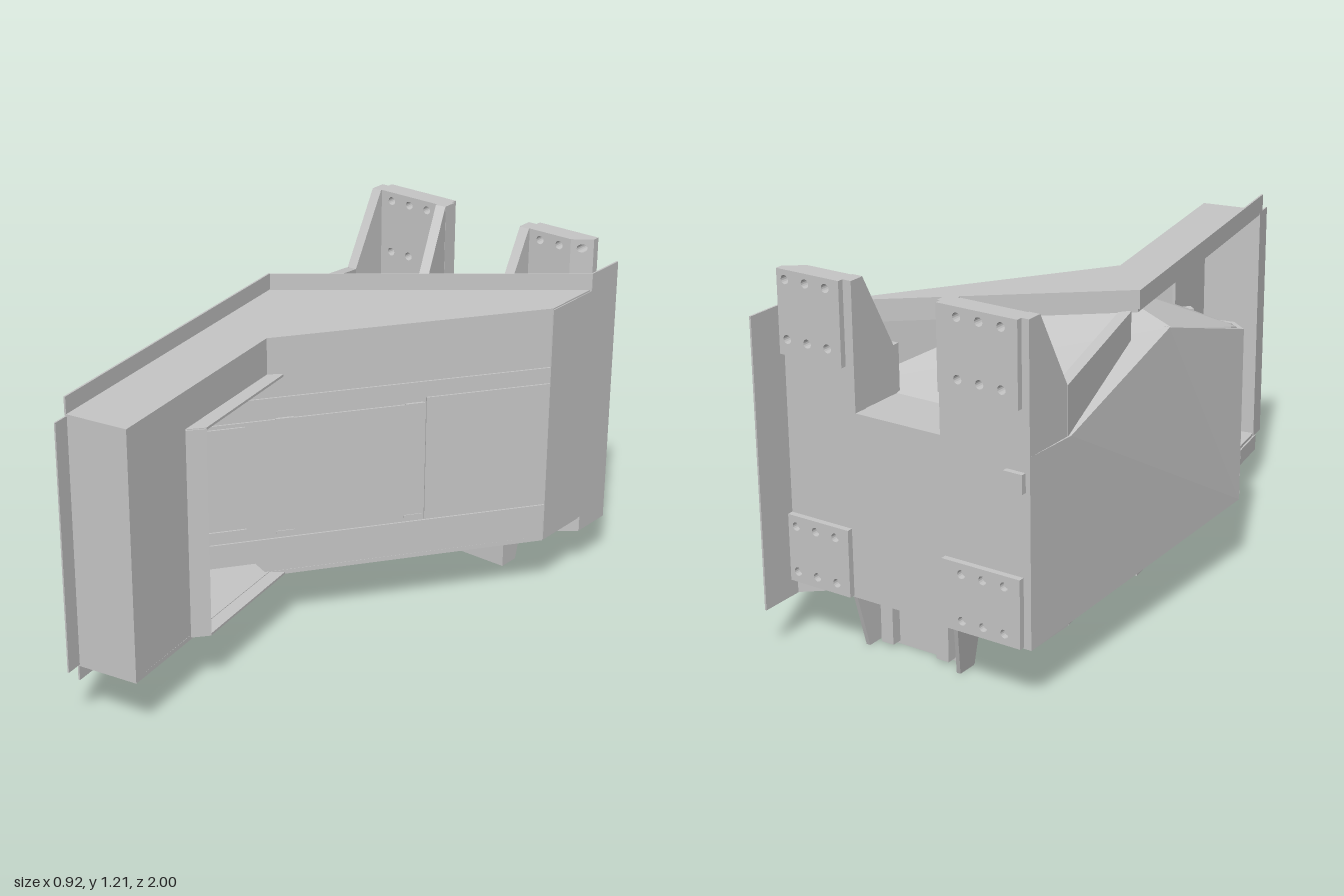
import * as THREE from 'three';

export function createModel() {
  const model = new THREE.Group();
  model.name = 'bentArmBracket';
  const steel = new THREE.MeshStandardMaterial({ color: 0xc6c6c6, side: THREE.DoubleSide });
  steel.name = 'grey steel';

  const add = (name, geo) => {
    const m = new THREE.Mesh(geo, steel);
    m.name = name;
    model.add(m);
    return m;
  };
  const shapeOf = pts => new THREE.Shape(pts.map(p => new THREE.Vector2(p[0], p[1])));
  const extrude = (shape, depth) =>
    new THREE.ExtrudeGeometry(shape, { depth, bevelEnabled: false, curveSegments: 8 });
  // Move every vertex of a geometry by a rule
  const bend = (g, rule) => {
    const p = g.attributes.position, v = new THREE.Vector3();
    for (let i = 0; i < p.count; i++) {
      rule(v.fromBufferAttribute(p, i));
      p.setXYZ(i, v.x, v.y, v.z);
    }
    g.computeVertexNormals();
    return g;
  };

  // Horizontal plate: outline in (x, z), optional rise in y along z
  const plate = (name, pts, y0, y1, rise = 0) => {
    const g = extrude(shapeOf(pts.map(([x, z]) => [x, -z])), y1 - y0);
    g.rotateX(-Math.PI / 2).translate(0, y0, 0);
    return add(name, bend(g, v => { v.y += rise * (v.z + 0.86); }));
  };
  // Upright wall from a to b in (x, z): profile in (distance, y), thickness from off to off + t
  const wall = (name, a, b, profile, t, off = -t / 2) => {
    const g = extrude(shapeOf(profile), t);
    g.translate(0, 0, off);
    g.rotateY(Math.atan2(a[1] - b[1], b[0] - a[0]));
    g.translate(a[0], 0, a[1]);
    return add(name, g);
  };
  const rect = (s0, s1, y0, y1) => [[s0, y0], [s1, y0], [s1, y1], [s0, y1]];
  const straight = (name, a, b, y0, y1, t, off) =>
    wall(name, a, b, rect(0, Math.hypot(b[0] - a[0], b[1] - a[1]), y0, y1), t, off);
  const box = (name, x0, x1, y0, y1, z0, z1) => {
    const g = new THREE.BoxGeometry(x1 - x0, y1 - y0, z1 - z0);
    return add(name, g.translate((x0 + x1) / 2, (y0 + y1) / 2, (z0 + z1) / 2));
  };

  // Bent arm: two webs with a flange along the outer edge
  const tipIn = [0.05, 0.91], tipOut = [-0.155, 0.945];
  const bendIn = [-0.088, 0.145], bendOut = [-0.355, -0.18];
  const rootIn = [0.453, -0.63], rootOut = [0.453, -0.85];
  const armOutline = [rootOut, rootIn, bendIn, tipIn, tipOut, bendOut];
  plate('topWeb', armOutline, 1.02, 1.035);
  plate('bottomWeb', armOutline, 0.2, 0.215);
  for (const [name, y0, y1] of [['topFlange', 1.03, 1.09], ['bottomFlange', 0.15, 0.205]]) {
    straight(name, tipOut, bendOut, y0, y1, 0.006, -0.006);
    straight(name, bendOut, rootOut, y0, y1, 0.006, 0);
  }

  // Column at the arm tip, open on its outer side
  straight('columnEnd', tipOut, tipIn, 0.205, 1.03, 0.012, -0.012);
  straight('columnSide', tipIn, [-0.005, 0.61], 0.205, 1.03, 0.012, -0.012);
  straight('headerStrip', [-0.005, 0.61], bendIn, 0.91, 1.03, 0.012, -0.012);
  straight('tipFin', [-0.158, 0.93], [-0.146, 1], 0.205, 1.03, 0.005);

  // Flared lip framing the opening
  const lip = [[-0.005, 0.61], [0.035, 0.56], [-0.05, 0.11], [-0.09, 0.145]];
  plate('upperLip', lip, 0.905, 0.913);
  plate('lowerLip', lip, 0.205, 0.213);
  straight('openingFlare', lip[0], lip[1], 0.21, 0.91, 0.008);

  // Thin fin at the arm root, taller behind the flanges
  wall('rootFin', [0.453, -0.63], [0.453, -1], [[0, 0.205], [0.22, 0.205], [0.22, 0.15], [0.37, 0.15],
    [0.37, 1.09], [0.22, 1.09], [0.22, 1.03], [0, 1.03]], 0.006);

  // Diagonal wall running through the arm, with raised strips and panels
  const d0 = [-0.23, 0.345], len = 1.189;
  wall('diagonalWall', d0, rootIn, [[0, 0.25], [0.2, 0.25], [0.24, 0.205], [len, 0.205],
    [len, 1.03], [0.23, 1.03], [0.23, 0.87], [0, 0.87]], 0.03, -0.03);
  const panels = [
    ['upperStrip', 0, len, 0.78, 0.832], ['lowerStrip', 0, len, 0.285, 0.336],
    ['doorPanel', 0, 0.765, 0.358, 0.757], ['rearPanel', 0.77, len, 0.34, 0.775],
  ];
  for (const [name, s0, s1, y0, y1] of panels) wall(name, d0, rootIn, rect(s0, s1, y0, y1), 0.006, 0);
  for (const y of [0.353, 0.75])
    for (const s of [0.27, 0.7])
      wall('doorHinge', d0, rootIn, rect(s, s + 0.06, y, y + 0.01), 0.009, 0);
  for (const y of [0.36, 0.72]) wall('doorLatch', d0, rootIn, rect(0, 0.17, y, y + 0.025), 0.012, 0);

  // Housing behind the diagonal wall, its side leaning in above and below the end face
  const side = wall('housingSide', [-0.425, -0.86], [-0.46, 0.29], [[0, 0.2], [0, 0.8], [0.2, 0.8],
    [0.75, 0.965], [1.15, 0.85], [1.15, 0.265]], 0.02, -0.02);
  bend(side.geometry, v => { v.x += 0.2 * Math.max(0, v.y - 0.85); });
  straight('housingBevel', [-0.46, 0.29], [-0.4, 0.335], 0.265, 0.85, 0.015, -0.015);
  straight('housingEnd', [-0.4, 0.335], [-0.24, 0.305], 0.265, 0.85, 0.015, -0.015);
  plate('housingBottom', [[-0.42, -0.84], [0.44, -0.84], [0.44, -0.64], [-0.24, 0.32], [-0.4, 0.33],
    [-0.45, 0.28]], 0.3, 0.31, -0.035);
  for (const y of [0.43, 0.63]) box('endTab', -0.415, -0.39, y, y + 0.06, 0.32, 0.35);

  // Folded roof: outer and inner points of each fold, rising to a ridge under the arm
  const folds = [
    [[-0.42, 0.8, -0.84], [0.43, 0.8, -0.84]],
    [[-0.425, 0.8, -0.66], [0.35, 0.8, -0.66]],
    [[-0.425, 0.962, -0.1], [-0.06, 1.015, 0.04]],
    [[-0.43, 0.85, 0.3], [-0.235, 0.87, 0.32]],
  ];
  const roof = new THREE.BufferGeometry();
  const faces = [];
  for (let i = 0; i < folds.length - 1; i++) {
    const [a, b] = folds[i], [c, d] = folds[i + 1];
    faces.push(...a, ...c, ...b, ...b, ...c, ...d);
  }
  roof.setAttribute('position', new THREE.Float32BufferAttribute(faces, 3));
  roof.computeVertexNormals();
  add('housingRoof', roof);

  // Rear wall with a chamfered corner and four bolted pads
  const drill = (shape, xs, ys) => {
    for (const x of xs) for (const y of ys) {
      const h = new THREE.Path();
      h.absarc(x, y, 0.014, 0, Math.PI * 2, true);
      shape.holes.push(h);
    }
    return shape;
  };
  const leftXs = [-0.345, -0.27, -0.195], rightXs = [0.27, 0.345, 0.42], rows = [0.99, 1.174];
  const rear = shapeOf([[-0.425, 0.2], [0.39, 0.2], [0.39, 1.205], [0.19, 1.205],
    [0.19, 0.8], [-0.115, 0.8], [-0.115, 1.205], [-0.425, 1.205]]);
  drill(rear, [...leftXs, 0.27, 0.345], rows);
  add('rearWall', extrude(rear, 0.05).translate(0, 0, -0.86));
  const corner = extrude(drill(shapeOf(rect(0.39, 0.45, 0.2, 1.205)), [0.42], rows), 0.05);
  corner.translate(0, 0, -0.86);
  add('rearCorner', bend(corner, v => { if (v.z > -0.83) v.z -= (v.x - 0.39) * 0.75; }));
  for (const [x0, x1, xs] of [[-0.4, -0.125, leftXs], [0.22, 0.45, rightXs]]) {
    for (const [y0, y1, ys] of [[0.205, 0.425, [0.24, 0.39]], [0.94, 1.205, rows]]) {
      const pad = drill(shapeOf(rect(x0, x1, y0, y1)), xs, ys);
      add('mountingPad', extrude(pad, 0.02).translate(0, 0, -0.88));
    }
  }
  box('rearStop', -0.41, -0.345, 0.69, 0.75, -0.878, -0.85);

  // Bracket ribs: steep gusset behind each bracket, then a run up to the arm
  const gussetTop = [[0, 1.205], [0.01, 1.205], [0.145, 0.955]];
  wall('bracketRib', [-0.407, -0.815], [-0.407, 0], [[0, 0.2], ...gussetTop, [0.145, 0.2]], 0.036);
  wall('bracketRib', [-0.407, -0.67], [-0.324, -0.2], rect(0, 0.477, 0.2, 0.955)
    .map(([s, y]) => [s, s > 0 && y > 0.9 ? 1.025 : y]), 0.036);
  wall('bracketRib', [-0.135, -0.815], [-0.067, -0.42], [[0, 0.2], ...gussetTop, [0.4, 1.025], [0.4, 0.2]], 0.036);
  wall('bracketRib', [0.21, -0.815], [0.21, 0], [[0, 0.2], ...gussetTop, [0.17, 0.955], [0.17, 0.2]], 0.036);

  // Foot under the rear wall: front plate, side gussets and two bars
  add('footPlate', extrude(shapeOf([[-0.145, 0.21], [-0.11, 0], [0.245, 0], [0.245, 0.21]]), 0.015)
    .translate(0, 0, -0.72));
  const gusset = [[0, 0.21], [0, 0], [0.07, 0], [0.13, 0.21]];
  for (const [x, lean] of [[-0.105, 0.17], [0.238, 0]]) {
    const g = wall('footGusset', [x, -0.71], [x, -1], gusset, 0.014);
    bend(g.geometry, v => { v.x -= v.y * lean; });
  }
  for (const x of [-0.05, 0.16]) box('footBar', x, x + 0.045, 0.01, 0.21, -0.755, -0.715);

  return model;
}
